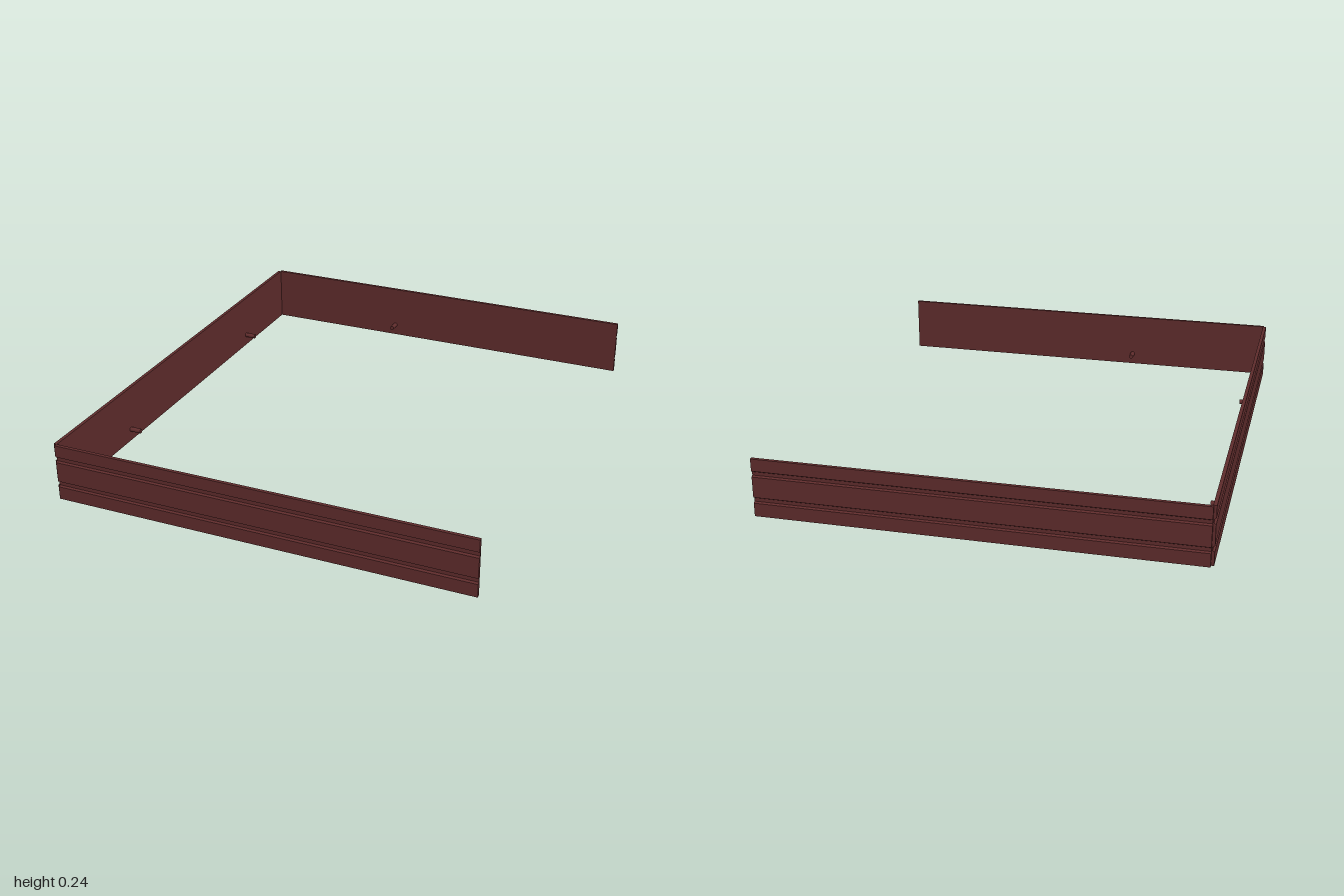
import * as THREE from 'three';

const HEIGHT = 0.236, THICK = 0.014, GROOVE = 0.008;

export function createModel() {
  const group = new THREE.Group();
  const wood = new THREE.MeshStandardMaterial({ color: 0x5f2c2c });
  wood.name = 'darkRedWood';

  // Board section: flat inner face at 0, outer face at THICK with two grooves
  const section = new THREE.Shape();
  section.moveTo(0, 0);
  section.lineTo(THICK, 0);
  for (const y of [0.066, 0.174]) {
    section.lineTo(THICK, y - 0.012);
    section.lineTo(THICK - GROOVE, y - 0.007);
    section.lineTo(THICK - GROOVE, y + 0.007);
    section.lineTo(THICK, y + 0.012);
  }
  section.lineTo(THICK, HEIGHT);
  section.lineTo(0, HEIGHT);

  // Panel: local +x is outward, the length runs along local z, pegs point inward
  function panel(name, length, pegs) {
    const part = new THREE.Group();
    part.name = name;
    const geometry = new THREE.ExtrudeGeometry(section, { depth: length, bevelEnabled: false });
    geometry.translate(0, 0, -length / 2);
    const board = new THREE.Mesh(geometry, wood);
    board.name = name + 'Board';
    part.add(board);
    for (const z of pegs) {
      const peg = new THREE.Mesh(new THREE.CylinderGeometry(0.01, 0.01, 0.05, 16), wood);
      peg.name = 'peg';
      peg.rotation.z = Math.PI / 2;
      peg.position.set(-0.023, 0.05, z);
      part.add(peg);
    }
    group.add(part);
    return part;
  }

  // Long panel on the right side
  const side = panel('sidePanel', 1.972, [0.59, -0.47]);
  side.rotation.y = Math.PI;
  side.position.x = -0.852;

  // Front and back panels, mirrored
  const length = 1.72, centre = 0.005;
  for (const s of [1, -1]) {
    const end = panel(s > 0 ? 'frontPanel' : 'backPanel', length, [s * (0.23 + centre)]);
    end.rotation.y = -s * Math.PI / 2;
    end.position.set(centre, 0, s * (1 - THICK));
  }
  return group;
}
